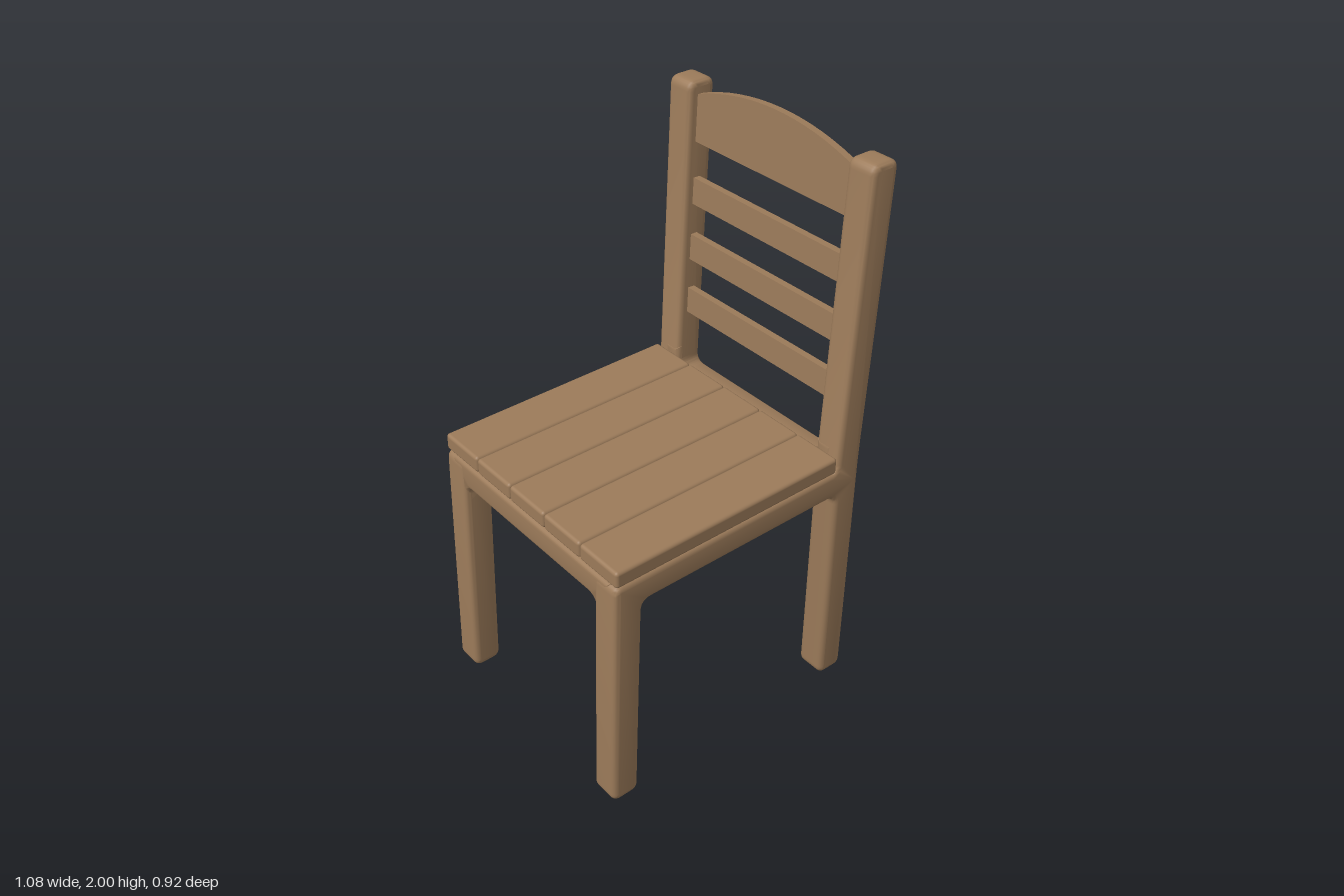
import * as THREE from 'three';
import { toCreasedNormals } from 'three/addons/utils/BufferGeometryUtils.js';
import { RoundedBoxGeometry } from 'three/addons/geometries/RoundedBoxGeometry.js';

const POST = 0.108;   // thickness of the frame timber
const INNER = 0.352;  // inner face of the legs, measured from the middle
const OUTER = 0.46;
const LEAN = 0.04;    // backward slope of the backrest
const RAIL_LOW = 0.813;
const RAIL_TOP = 0.914;
const BEVEL = 0.02;

// Closed outline from [x, y, radius] corners; corners without a radius stay sharp
function roundedShape(points) {
  const shape = new THREE.Shape();
  points.forEach(([x, y, r = 0], i) => {
    const c = new THREE.Vector2(x, y);
    const toward = ([px, py]) =>
      new THREE.Vector2(px, py).sub(c).setLength(r).add(c);
    const a = toward(points[(i + points.length - 1) % points.length]);
    const b = toward(points[(i + 1) % points.length]);
    if (i === 0) shape.moveTo(a.x, a.y);
    else shape.lineTo(a.x, a.y);
    if (r > 0) shape.quadraticCurveTo(x, y, b.x, b.y);
  });
  shape.closePath();
  return shape;
}

// Soft-edged timber of a given thickness, centred on its own thickness
function timber(shape, thickness, bevel) {
  const geometry = new THREE.ExtrudeGeometry(shape, {
    depth: thickness - 2 * bevel,
    curveSegments: 6,
    bevelEnabled: bevel > 0,
    bevelSize: bevel,
    bevelThickness: bevel,
    bevelOffset: -bevel,
    bevelSegments: 4,
  });
  geometry.translate(0, 0, bevel - thickness / 2);
  return toCreasedNormals(geometry, 0.6);
}

export function createModel() {
  const chair = new THREE.Group();
  chair.name = 'chair';
  const wood = new THREE.MeshStandardMaterial({ color: 0x9c7b5a });
  wood.name = 'wood';

  const add = (name, geometry, x = 0, y = 0, z = 0) => {
    const mesh = new THREE.Mesh(geometry, wood);
    mesh.name = name;
    mesh.position.set(x, y, z);
    chair.add(mesh);
    return mesh;
  };

  // Side frames: front leg, seat rail and leaning back post in one outline
  const sideGeometry = timber(roundedShape([
    [-0.545, 0, 0.032], [-0.44, 0, 0.032],
    [-0.416, RAIL_LOW, 0.035], [0.395, RAIL_LOW, 0.035],
    [0.395, 0, 0.032], [0.499, 0, 0.032],
    [0.499, 0.93, 0.08], [0.542, 1.98, 0.032],
    [0.435, 1.98, 0.032], [0.394, RAIL_TOP, 0.025],
    [-0.521, RAIL_TOP, 0.032],
  ]), POST, BEVEL);
  for (const side of [-1, 1]) {
    add(side > 0 ? 'leftSideFrame' : 'rightSideFrame', sideGeometry, 0, 0, side * (OUTER - POST / 2));
  }

  // Cross rails, flaring into the legs at their ends
  const frontHalf = [[0.425, 0.74], [0.425, RAIL_TOP]];
  const backHalf = [[0.425, 0.74], [0.425, 1.0], [INNER, 1.0], [INNER, RAIL_TOP, 0.035]];
  for (const [name, half, x] of [['frontRail', frontHalf, -0.468], ['backRail', backHalf, 0.447]]) {
    const right = [[INNER, RAIL_LOW, 0.035], [INNER, 0.74], ...half];
    const left = right.map(([z, y, r]) => [-z, y, r]).reverse();
    const geometry = timber(roundedShape([...right, ...left]), 0.104, BEVEL);
    geometry.rotateY(-Math.PI / 2);
    add(name, geometry, x);
  }

  // Small coves inside the four corners of the seat frame
  const cove = new THREE.Shape();
  cove.moveTo(-0.02, -0.02);
  cove.lineTo(0.04, -0.02);
  cove.lineTo(0.04, 0);
  cove.quadraticCurveTo(0, 0, 0, 0.04);
  cove.lineTo(-0.02, 0.04);
  cove.closePath();
  const coveGeometry = timber(cove, 0.06, 0);
  coveGeometry.rotateX(Math.PI / 2);
  for (const [x, sx] of [[-0.416, 1], [0.395, -1]]) {
    for (const sz of [-1, 1]) {
      add('cornerCove', coveGeometry, x, 0.864, sz * INNER).scale.set(sx, 1, -sz);
    }
  }

  // Seat planks, laid edge to edge
  const pitch = 2 * OUTER / 5;
  const plankGeometry = new RoundedBoxGeometry(0.907, 0.061, pitch - 0.0005, 3, 0.012);
  for (let i = 0; i < 5; i++) {
    add('seatPlank', plankGeometry, -0.0625, 0.944, (i - 2) * pitch);
  }

  // Backrest slats, following the lean of the posts
  const backX = (y) => 0.44 + LEAN * (y - 0.92);
  const slatGeometry = new THREE.BoxGeometry(0.026, 0.095, 0.74);
  for (const y of [1.184, 1.39, 1.598]) {
    add('backSlat', slatGeometry, backX(y), y).rotation.z = -LEAN;
  }

  // Arched top board
  const arch = new THREE.Shape();
  arch.moveTo(-0.365, -0.088);
  arch.lineTo(0.365, -0.088);
  arch.lineTo(0.365, 0.07);
  arch.bezierCurveTo(0.13, 0.162, -0.13, 0.162, -0.365, 0.07);
  arch.closePath();
  const archGeometry = new THREE.ExtrudeGeometry(arch, { depth: 0.026, bevelEnabled: false, curveSegments: 16 });
  archGeometry.translate(0, 0, -0.013);
  archGeometry.rotateY(-Math.PI / 2);
  add('topBoard', toCreasedNormals(archGeometry, 0.5), backX(1.861), 1.861).rotation.z = -LEAN;

  return chair;
}
